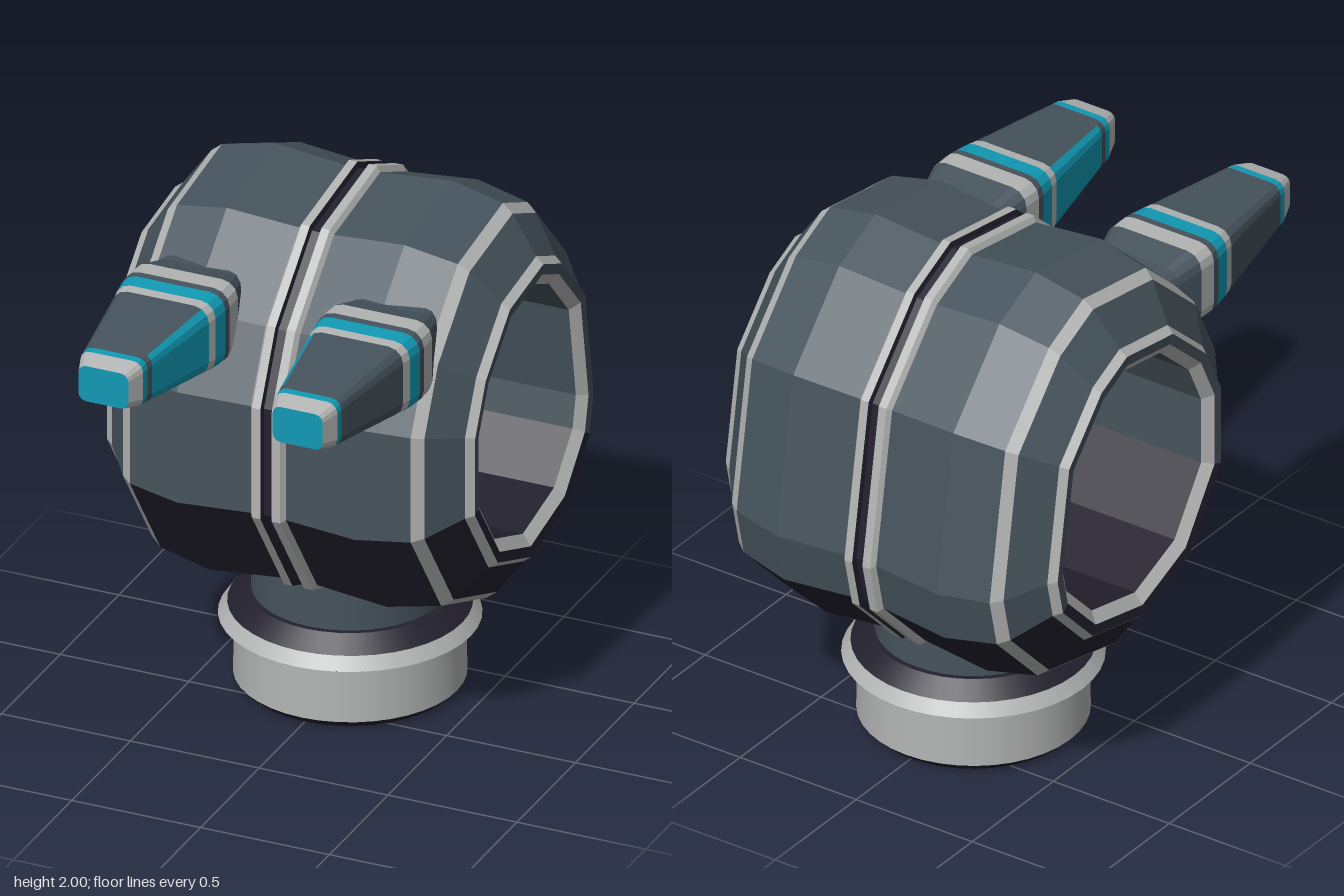
import * as THREE from 'three';

const mat = (name, color) => Object.assign(new THREE.MeshStandardMaterial({ color }), { name });

export function createModel() {
  const M = {
    slate: mat('slate', 0x46535c),
    dark: mat('darkPurple', 0x23202e),
    pale: mat('paleGrey', 0xb2b4b3),
    teal: mat('teal', 0x1199b4),
  };
  const root = new THREE.Group();
  root.name = 'model';
  const CZ = -0.276, CY = 1.2;

  // Flat-faced skin over cross-section loops, sorted into one mesh per colour.
  // colourOf(band, segment) names the material of each quad; caps are [loop, colour, reversed].
  function skin(name, loops, colourOf, caps = []) {
    const faces = {};
    const put = (key, ...pts) => {
      const list = faces[key] || (faces[key] = []);
      pts.forEach((p) => list.push(p[0], p[1], p[2]));
    };
    for (let b = 0; b < loops.length - 1; b++) {
      const p = loops[b], q = loops[b + 1], n = p.length;
      for (let i = 0; i < n; i++) {
        const j = (i + 1) % n;
        put(colourOf(b, i), p[i], p[j], q[j], p[i], q[j], q[i]);
      }
    }
    for (const [loop, key, reversed] of caps) {
      for (let i = 1; i < loop.length - 1; i++) {
        if (reversed) put(key, loop[0], loop[i + 1], loop[i]);
        else put(key, loop[0], loop[i], loop[i + 1]);
      }
    }
    const group = new THREE.Group();
    group.name = name;
    for (const key in faces) {
      const geo = new THREE.BufferGeometry();
      geo.setAttribute('position', new THREE.Float32BufferAttribute(faces[key], 3));
      geo.computeVertexNormals();
      const mesh = new THREE.Mesh(geo, M[key]);
      mesh.name = name + ' ' + M[key].name;
      group.add(mesh);
    }
    root.add(group);
  }

  // Ring body: twelve-sided outline (z, y), scaled about its centre along x
  const outline = [
    [-0.386, 1.995], [0.02, 1.93], [0.316, 1.663], [0.445, 1.396], [0.445, 0.957], [0.17, 0.56],
    [-0.24, 0.4], [-0.686, 0.497], [-0.95, 0.765], [-0.997, 0.968], [-0.895, 1.583], [-0.61, 1.893],
  ];
  // Half profile from the middle outwards and back through the hole:
  // x, scale, colour of the band that follows ('body' is dark on the underside)
  const half = [
    [0, 0.965, 'dark'], [0.018, 0.965, 'dark'], [0.022, 0.995, 'pale'], [0.055, 0.995, 'pale'],
    [0.068, 0.968, 'body'], [0.345, 1, 'body'], [0.545, 0.945, 'pale'], [0.585, 0.905, 'body'],
    [0.685, 0.73, 'pale'], [0.715, 0.7, 'body'], [0.712, 0.65, 'pale'], [0.68, 0.597, 'body'],
    [0, 0.597, 'body'],
  ];
  const ringLoop = ([x, s]) => outline.map(([z, y]) => [x, CY + (y - CY) * s, CZ + (z - CZ) * s]);
  const mirrored = half.slice(1).reverse().map(([x, s]) => [-x, s]);
  const ringColour = (key, i) => (key !== 'body' ? key : i >= 4 && i <= 7 ? 'dark' : 'slate');
  skin('right ring half', [...mirrored, half[0]].map(ringLoop),
    (b, i) => ringColour(half[half.length - 2 - b][2], i));
  skin('left ring half', half.map(ringLoop), (b, i) => ringColour(half[b][2], i));

  // Barrels: rounded rectangles along z
  // z, centre height, half width, half height, colour of the band that follows
  const stations = [
    [-0.28, 1.65, 0.15, 0.12, 'dark'],
    [0.12, 1.65, 0.15, 0.12, 'slate'],
    [0.2, 1.65, 0.175, 0.125, 'slate'],
    [0.3, 1.655, 0.203, 0.147, 'pale'],
    [0.375, 1.655, 0.205, 0.148, 'slate'],
    [0.405, 1.655, 0.203, 0.146, 'teal'],
    [0.47, 1.656, 0.194, 0.141, 'pale'],
    [0.51, 1.657, 0.186, 0.136, 'panel'],
    [0.87, 1.67, 0.13, 0.097, 'slate'],
    [0.9, 1.671, 0.125, 0.093, 'teal'],
    [0.93, 1.671, 0.122, 0.091, 'pale'],
    [1.0, 1.672, 0.097, 0.07, 'teal'],
  ];
  function barrelLoop(cx, [z, cy, w, h]) {
    const r = Math.min(w, h) * 0.42, pts = [];
    for (let c = 0; c < 4; c++) {
      const sx = c === 0 || c === 3 ? 1 : -1, sy = c < 2 ? 1 : -1;
      for (let k = 0; k < 4; k++) {
        const a = (c + k / 3) * Math.PI / 2;
        pts.push([cx + sx * (w - r) + r * Math.cos(a), cy + sy * (h - r) + r * Math.sin(a), z]);
      }
    }
    return pts;
  }
  for (const side of [-1, 1]) {
    const cx = side * 0.377;
    const loops = stations.map((s) => barrelLoop(cx, s));
    const colourOf = (b, i) => {
      const key = stations[b][4];
      if (key !== 'panel') return key;
      // Teal panel covers the side that faces the other barrel
      const p = loops[b], mid = (p[i][0] + p[(i + 1) % p.length][0]) / 2 - cx;
      return -side * mid / stations[b][2] > 0.85 ? 'teal' : 'slate';
    };
    skin(side < 0 ? 'right barrel' : 'left barrel', loops, colourOf,
      [[loops[0], 'dark', true], [loops[loops.length - 1], 'teal', false]]);
  }

  // Round base: name, bottom y, top y, bottom radius, top radius, colour
  const base = [
    ['foot', 0, 0.03, 0.385, 0.412, 'dark'],
    ['drum', 0.03, 0.228, 0.415, 0.41, 'pale'],
    ['flange underside', 0.225, 0.258, 0.405, 0.468, 'dark'],
    ['flange', 0.258, 0.305, 0.468, 0.435, 'pale'],
    ['flange top', 0.305, 0.362, 0.435, 0.37, 'dark'],
    ['neck', 0.36, 0.6, 0.35, 0.35, 'slate'],
  ];
  for (const [name, y0, y1, r0, r1, key] of base) {
    const mesh = new THREE.Mesh(new THREE.CylinderGeometry(r1, r0, y1 - y0, 40), M[key]);
    mesh.name = name;
    mesh.position.set(0, (y0 + y1) / 2, CZ);
    root.add(mesh);
  }
  return root;
}
